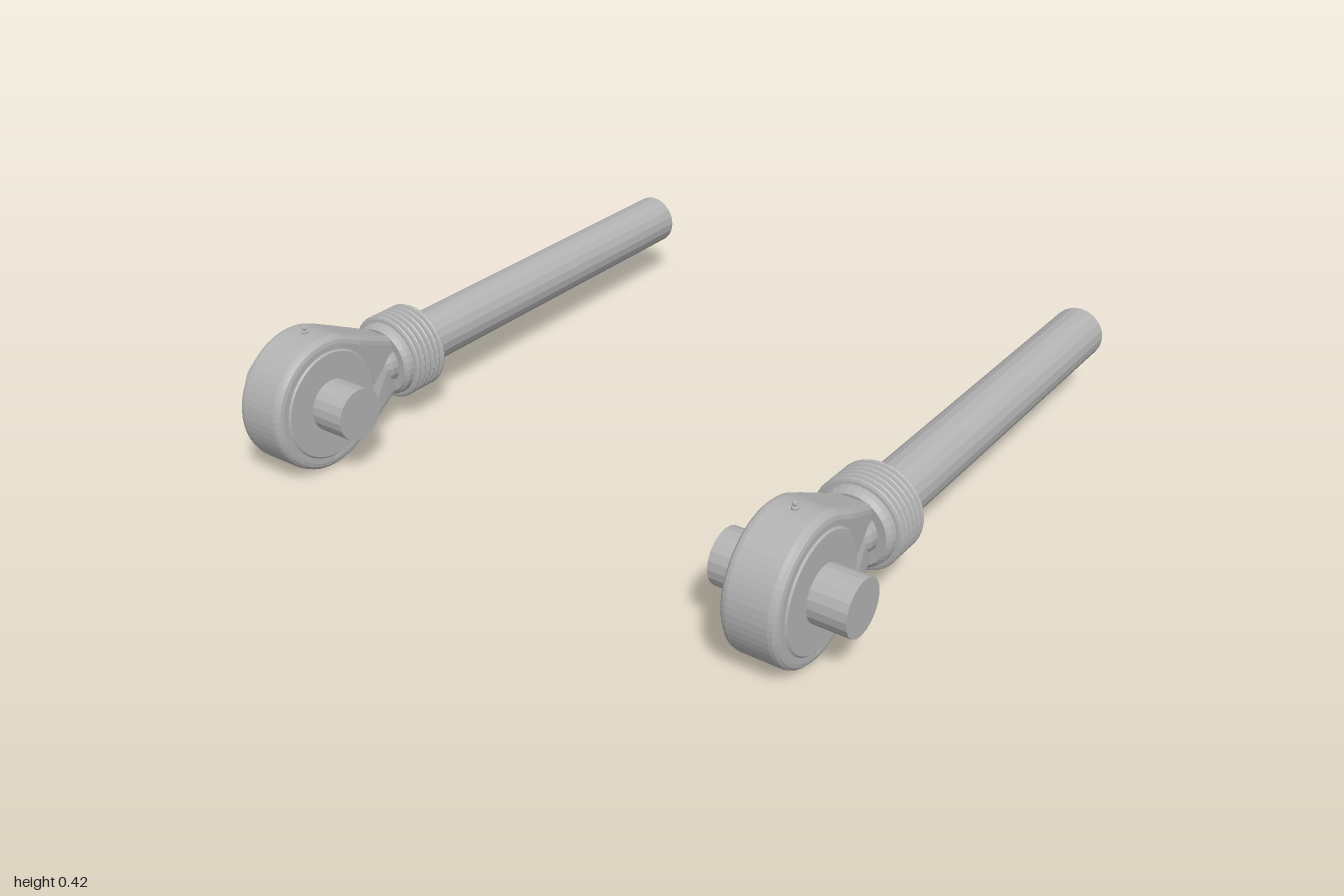
import * as THREE from 'three';

const steel = new THREE.MeshStandardMaterial({ color: 0xb2b2b2 });
steel.name = 'steel grey';
const EYE_X = -0.725, AXIS_Y = 0.2;

function add(parent, name, geometry, x = 0, y = 0, z = 0) {
  const mesh = new THREE.Mesh(geometry, steel);
  mesh.name = name;
  mesh.position.set(x, y, z);
  parent.add(mesh);
  return mesh;
}

// Solid or sleeve turned around the x axis; profile points are [x, radius]
function turned(profile, sides) {
  const pts = profile.map(([x, r]) => new THREE.Vector2(r, -x));
  const g = new THREE.LatheGeometry(pts.reverse(), sides).rotateZ(Math.PI / 2);
  const flat = g.toNonIndexed();
  flat.computeVertexNormals();
  return flat;
}

// Teardrop eye with rounded rim, narrowing in depth towards the neck
function eyeGeometry() {
  const bevel = 0.022, r = 0.2 - bevel, a = 1.05, shape = new THREE.Shape();
  const tipX = 0.29, tipY = 0.06;
  for (let i = 0; i <= 40; i++) {
    const t = a + (i / 40) * (2 * Math.PI - 2 * a);
    const p = [Math.cos(t) * r, Math.sin(t) * r];
    i ? shape.lineTo(...p) : shape.moveTo(...p);
  }
  const ex = Math.cos(a) * r, ey = Math.sin(a) * r;
  const side = [0, 0.2, 0.4, 0.6, 0.8, 1];
  const at = k => [ex + (tipX - ex) * k, ey + (tipY - ey) * k];
  side.slice(1).forEach(k => shape.lineTo(at(k)[0], -at(k)[1]));
  side.slice(1).reverse().forEach(k => shape.lineTo(...at(k)));
  const g = new THREE.ExtrudeGeometry(shape, {
    depth: 0.16 - 2 * bevel, bevelEnabled: true, bevelSize: bevel,
    bevelThickness: bevel, bevelSegments: 3, steps: 1,
  });
  g.translate(0, 0, -0.08 + bevel);
  const p = g.attributes.position;
  for (let i = 0; i < p.count; i++) {
    const k = THREE.MathUtils.clamp((p.getX(i) - 0.14) / 0.15, 0, 1);
    p.setZ(i, p.getZ(i) * (1 - 0.33 * k));
  }
  g.computeVertexNormals();
  return g;
}

// Bellows: hollow sleeve with six rounded ribs
function bellowsGeometry() {
  const pts = [[-0.45, 0.075], [-0.452, 0.1], [-0.44, 0.111], [-0.425, 0.113]];
  const ribs = 6, x0 = -0.426, pitch = 0.0205;
  for (let i = 0; i < ribs; i++) {
    for (let j = 0; j <= 6; j++) {
      const t = Math.PI * (1 - j / 6);
      pts.push([x0 + pitch * (i + 0.5) + Math.cos(t) * 0.0085, 0.113 + Math.sin(t) * 0.017]);
    }
  }
  pts.push([-0.303, 0.096], [-0.306, 0.079]);
  return turned(pts, 32);
}

function rodEnd(name) {
  const rod = new THREE.Group();
  rod.name = name;
  add(rod, 'shaft', turned([[-0.36, 0], [-0.36, 0.08], [0.928, 0.08], [0.928, 0]], 20), 0, AXIS_Y);
  add(rod, 'neck', turned([[-0.52, 0], [-0.52, 0.05], [-0.465, 0.07], [-0.34, 0.076], [-0.34, 0]], 20), 0, AXIS_Y);
  add(rod, 'bellows', bellowsGeometry(), 0, AXIS_Y);
  add(rod, 'eye', eyeGeometry(), EYE_X, AXIS_Y);

  // Bearing disc, slightly proud of the eye on both faces
  const disc = turned([[-0.085, 0], [-0.085, 0.157], [-0.08, 0.162], [0.08, 0.162], [0.085, 0.157], [0.085, 0]], 40);
  add(rod, 'bearingDisc', disc.rotateY(Math.PI / 2), EYE_X, AXIS_Y);

  // Cross pin
  const pin = turned([[-0.192, 0], [-0.192, 0.077], [0.192, 0.077], [0.192, 0]], 20);
  add(rod, 'pin', pin.rotateY(Math.PI / 2), EYE_X, AXIS_Y);

  // Grease fitting on top of the eye
  const fitting = turned([[0, 0], [0, 0.009], [0.016, 0.009], [0.018, 0.005],
    [0.022, 0.005], [0.025, 0.008], [0.03, 0.007], [0.034, 0]], 10);
  add(rod, 'greaseFitting', fitting.rotateZ(Math.PI / 2), EYE_X, 0.39);
  return rod;
}

export function createModel() {
  const model = new THREE.Group();
  model.name = 'rodEndPair';
  for (const [name, z] of [['frontRod', 0.808], ['backRod', -0.808]]) {
    const rod = rodEnd(name);
    rod.position.z = z;
    model.add(rod);
  }
  return model;
}
